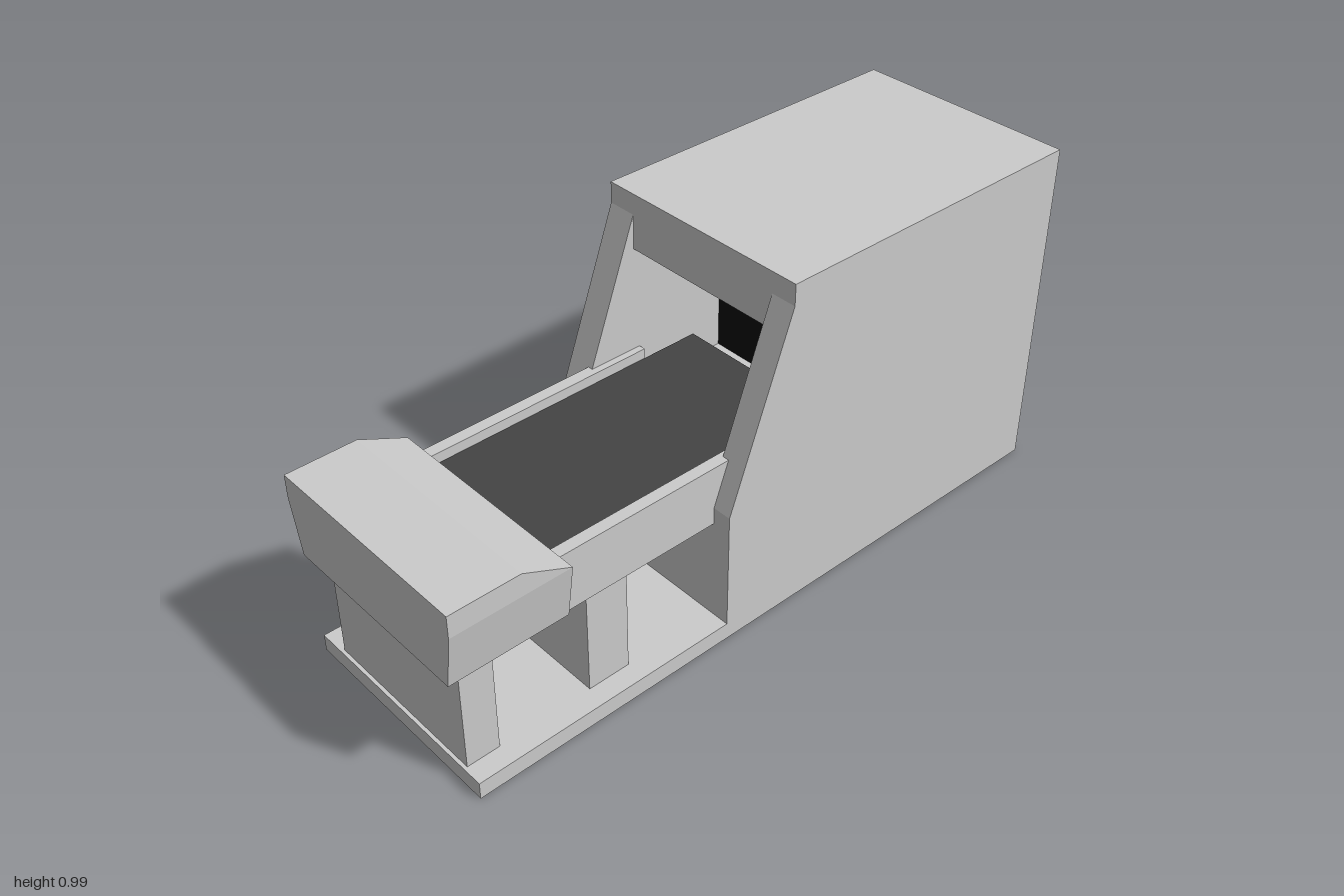
import * as THREE from 'three';

const mat = (color) => new THREE.MeshStandardMaterial({ color, flatShading: true });

export function createModel() {
  const group = new THREE.Group();
  const grey = mat(0xcccccc), dark = mat(0x444444), black = mat(0x0a0a0a);

  const add = (name, geometry, material = grey) => {
    const mesh = new THREE.Mesh(geometry, material);
    mesh.name = name;
    group.add(mesh);
    return mesh;
  };
  // Box given by its extents on each axis
  const box = (name, [x0, x1], [y0, y1], [z0, z1], material) =>
    add(name, new THREE.BoxGeometry(x1 - x0, y1 - y0, z1 - z0)
      .translate((x0 + x1) / 2, (y0 + y1) / 2, (z0 + z1) / 2), material);
  // Side profile of [z, y] points, extruded from x0 to x1
  const sideShape = (points) => new THREE.Shape(points.map(([z, y]) => new THREE.Vector2(-z, y)));
  const extrudeX = (shape, x0, x1) =>
    new THREE.ExtrudeGeometry(shape, { depth: x1 - x0, bevelEnabled: false })
      .rotateY(Math.PI / 2).translate(x0, 0, 0);

  // Cabinet: two sloped side walls around a recessed opening
  const wall = sideShape([[-1, 0], [-1, 0.99], [-0.02, 0.99], [-0.02, 0.93], [0.175, 0.4], [0.175, 0]]);
  add('cabinetRightWall', extrudeX(wall, -0.265, -0.18));
  add('cabinetLeftWall', extrudeX(wall, 0.315, 0.39));
  const inner = [-0.18, 0.315];
  box('cabinetBack', inner, [0, 0.99], [-1, -0.34]);
  box('cabinetHeader', inner, [0.83, 0.99], [-0.34, -0.02]);
  box('cabinetLowerFront', inner, [0, 0.4], [-0.34, 0.175]);
  box('darkBackPanel', inner, [0.4, 0.83], [-0.34, -0.325], black);

  // Base plate, supports and conveyor table
  box('basePlate', [-0.265, 0.39], [0, 0.05], [0.175, 0.96]);
  for (const [name, z] of [['frontSupport', [0.855, 0.95]], ['middleSupport', [0.455, 0.58]]])
    box(name, [-0.185, 0.33], [0.05, 0.46], z);
  box('rightRail', [-0.195, -0.16], [0.35, 0.525], [-0.035, 0.97]);
  box('leftRail', [0.3, 0.335], [0.35, 0.525], [-0.035, 0.97]);
  box('belt', [-0.16, 0.3], [0.45, 0.495], [-0.21, 0.96], dark);

  // Front console: wedge on top of a tapered lower body
  add('consoleTop', extrudeX(sideShape([[0.66, 0.535], [0.8, 0.6], [1, 0.6], [1, 0.535]]), -0.25, 0.39));
  const body = box('consoleBody', [-0.25, 0.39], [0.375, 0.535], [0.66, 1]).geometry;
  const pos = body.attributes.position;
  for (let i = 0; i < pos.count; i++)
    if (pos.getY(i) < 0.4) pos.setX(i, pos.getX(i) < 0 ? -0.217 : 0.367);
  body.computeVertexNormals();

  // Control box on the side, with a recessed screen
  const rect = (z0, z1, y0, y1) => [[z0, y0], [z0, y1], [z1, y1], [z1, y0]];
  const face = sideShape(rect(-0.82, -0.21, 0.5, 0.835));
  face.holes.push(sideShape(rect(-0.77, -0.56, 0.615, 0.81)));
  add('controlBoxFace', extrudeX(face, -0.365, -0.345));
  box('controlBox', [-0.345, -0.265], [0.5, 0.835], [-0.82, -0.21]);
  box('screen', [-0.349, -0.344], [0.615, 0.81], [-0.77, -0.56], black);

  // Keypad with a slightly narrowed face and four buttons
  const pad = box('keypad', [-0.388, -0.365], [0.574, 0.766], [-0.445, -0.275]).geometry;
  const p = pad.attributes.position;
  for (let i = 0; i < p.count; i++)
    if (p.getX(i) < -0.38) {
      p.setY(i, 0.67 + (p.getY(i) - 0.67) * 0.95);
      p.setZ(i, -0.36 + (p.getZ(i) + 0.36) * 0.93);
    }
  pad.computeVertexNormals();
  for (const y of [0.638, 0.705])
    for (const z of [-0.39, -0.33])
      box('keypadButton', [-0.395, -0.385], [y - 0.017, y + 0.017], [z - 0.02, z + 0.02], black);

  return group;
}
